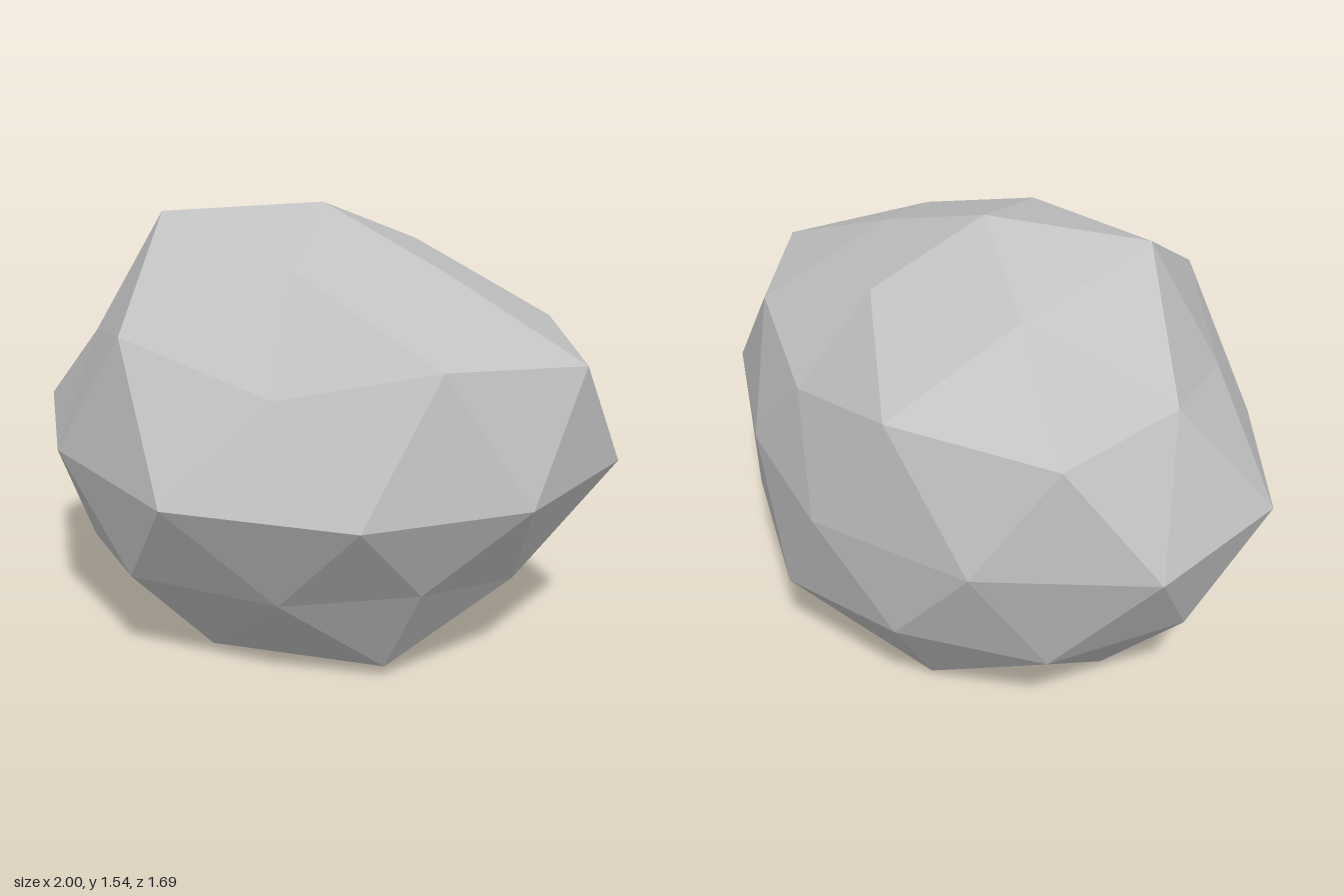
import * as THREE from 'three';

// Rock: a subdivided icosahedron, stretched, with each corner pushed in or out.
// Each ring lists corners by heading (degrees from +x towards +z), 0.. once round:
// start heading, [horizontal, vertical] unit direction per alternating corner, radii.
const CENTRE = new THREE.Vector3(0.008, 0.7515, -0.062);
const STRETCH = new THREE.Vector3(1.22, 1, 1.03);
const CAP = [0.5257, 0.8507], BASE = [0.8944, 0.4472], MID = [0.8507, 0.5257];
const down = ([h, v]) => [h, -v];

const RINGS = [
  { start: 0, dirs: [[0, 1]], radii: [0.79] },
  { start: 0, dirs: [CAP], radii: [0.73, 0.785, 0.885, 0.76, 0.717] },
  { start: 0, dirs: [BASE, MID], radii: [0.9, 0.868, 0.75, 0.878, 0.75, 0.787, 0.87, 0.85, 0.7, 0.777] },
  { start: 18, dirs: [[1, 0]], radii: [0.819, 0.84, 0.877, 0.838, 0.87, 0.87, 0.795, 0.76, 0.713, 0.853] },
  { start: 0, dirs: [down(MID), down(BASE)], radii: [0.73, 0.722, 0.73, 0.826, 0.83, 0.82, 0.8, 0.79, 0.827, 0.812] },
  { start: 36, dirs: [down(CAP)], radii: [0.824, 0.842, 0.867, 0.861, 0.795] },
  { start: 0, dirs: [[0, -1]], radii: [0.7515] },
];

function ringPoints({ start, dirs, radii }) {
  return radii.map((r, i) => {
    const a = THREE.MathUtils.degToRad(start + (360 * i) / radii.length);
    const [h, v] = dirs[i % dirs.length];
    return new THREE.Vector3(h * Math.cos(a), v, h * Math.sin(a))
      .multiplyScalar(r).multiply(STRETCH).add(CENTRE);
  });
}

function rockGeometry() {
  const rings = RINGS.map(ringPoints);
  const at = (ring, i) => rings[ring][(i + rings[ring].length) % rings[ring].length];
  const points = [];
  const face = (a, b, c) => points.push(a, b, c);

  // Top and bottom caps, each with the row that widens from 5 to 10 corners
  for (let k = 0; k < 5; k++) {
    const t = at(1, k), b = at(5, k), j = 2 * k;
    face(at(0, 0), at(1, k + 1), t);
    face(t, at(2, j), at(2, j - 1));
    face(t, at(2, j + 1), at(2, j));
    face(t, at(1, k + 1), at(2, j + 1));

    face(at(6, 0), b, at(5, k + 1));
    face(b, at(4, j), at(4, j + 1));
    face(b, at(4, j + 1), at(4, j + 2));
    face(b, at(4, j + 2), at(5, k + 1));
  }
  // Zigzag bands above and below the waist
  for (let j = 0; j < 10; j++) {
    face(at(2, j), at(3, j), at(3, j - 1));
    face(at(3, j), at(2, j), at(2, j + 1));
    face(at(4, j), at(3, j - 1), at(3, j));
    face(at(3, j), at(4, j + 1), at(4, j));
  }

  const geometry = new THREE.BufferGeometry().setFromPoints(points);
  geometry.computeVertexNormals(); // unshared corners give flat facets
  return geometry;
}

export function createModel() {
  const stone = new THREE.MeshStandardMaterial({ color: 0xc2c2c2, flatShading: true });
  stone.name = 'stone grey';
  const rock = new THREE.Mesh(rockGeometry(), stone);
  rock.name = 'rock';
  const model = new THREE.Group();
  model.name = 'boulder';
  model.add(rock);
  return model;
}
